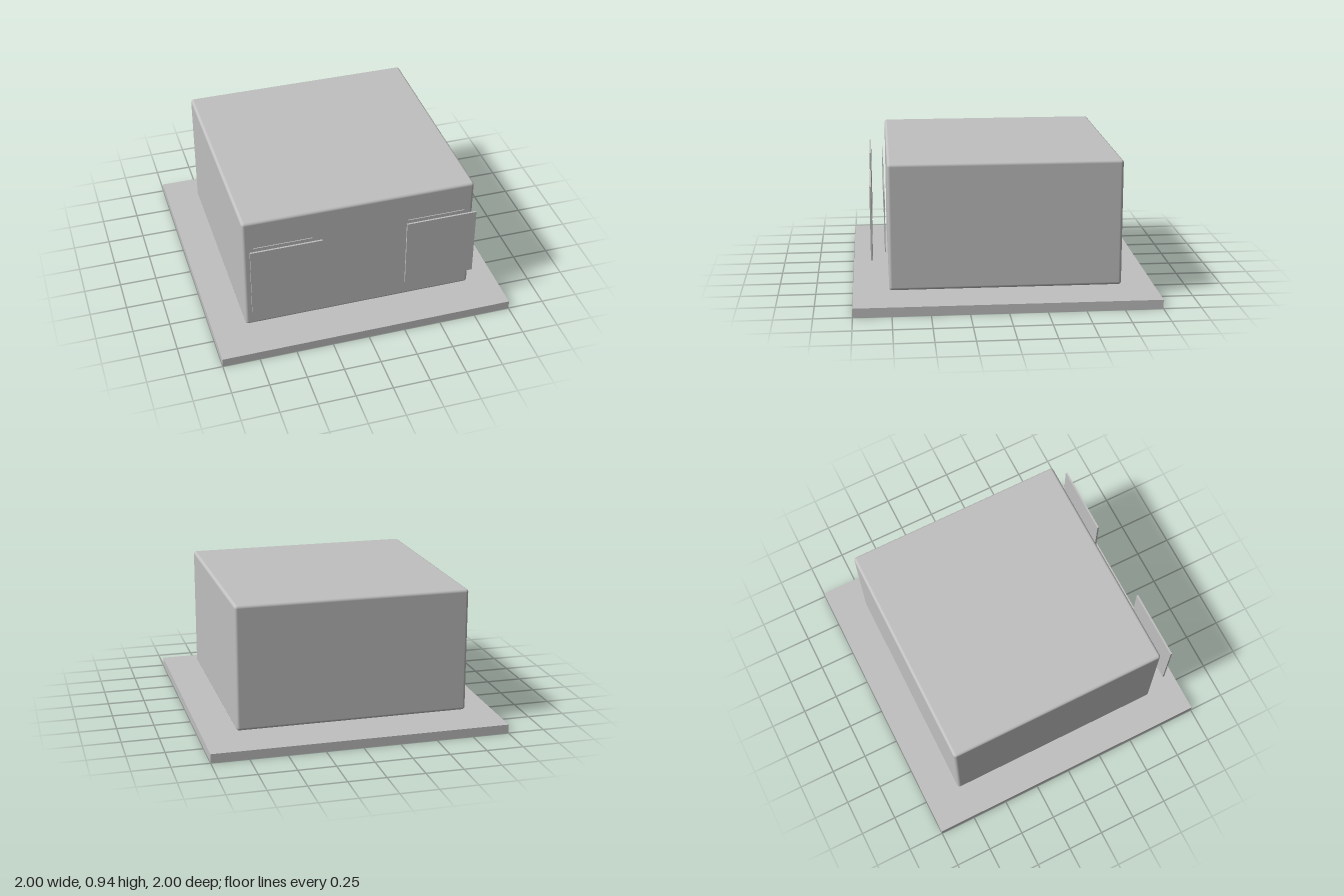
import * as THREE from 'three';
import { RoundedBoxGeometry } from 'three/addons/geometries/RoundedBoxGeometry.js';

export function createModel() {
  const model = new THREE.Group();
  model.name = 'boxOnBase';
  const grey = new THREE.MeshStandardMaterial({ color: 0xc0c0c0 });
  grey.name = 'plain grey';

  const add = (name, geometry, x, y, z) => {
    const mesh = new THREE.Mesh(geometry, grey);
    mesh.name = name;
    mesh.position.set(x, y, z);
    model.add(mesh);
  };

  // Flat square base
  add('basePlate', new THREE.BoxGeometry(2, 0.06, 2), 0, 0.03, 0);

  // Softly rounded body, floating just above the base
  add('body', new RoundedBoxGeometry(1.565, 0.84, 1.524, 4, 0.02), 0, 0.52, 0);

  // A pair of layered panels standing off the front
  for (const [side, s] of [['left', 1], ['right', -1]]) {
    add(side + 'OuterPanel', new THREE.BoxGeometry(0.476, 0.486, 0.012), s * 0.522, 0.547, 0.87);
    add(side + 'InnerPanel', new THREE.BoxGeometry(0.39, 0.405, 0.006), s * 0.521, 0.547, 0.782);
  }
  return model;
}
